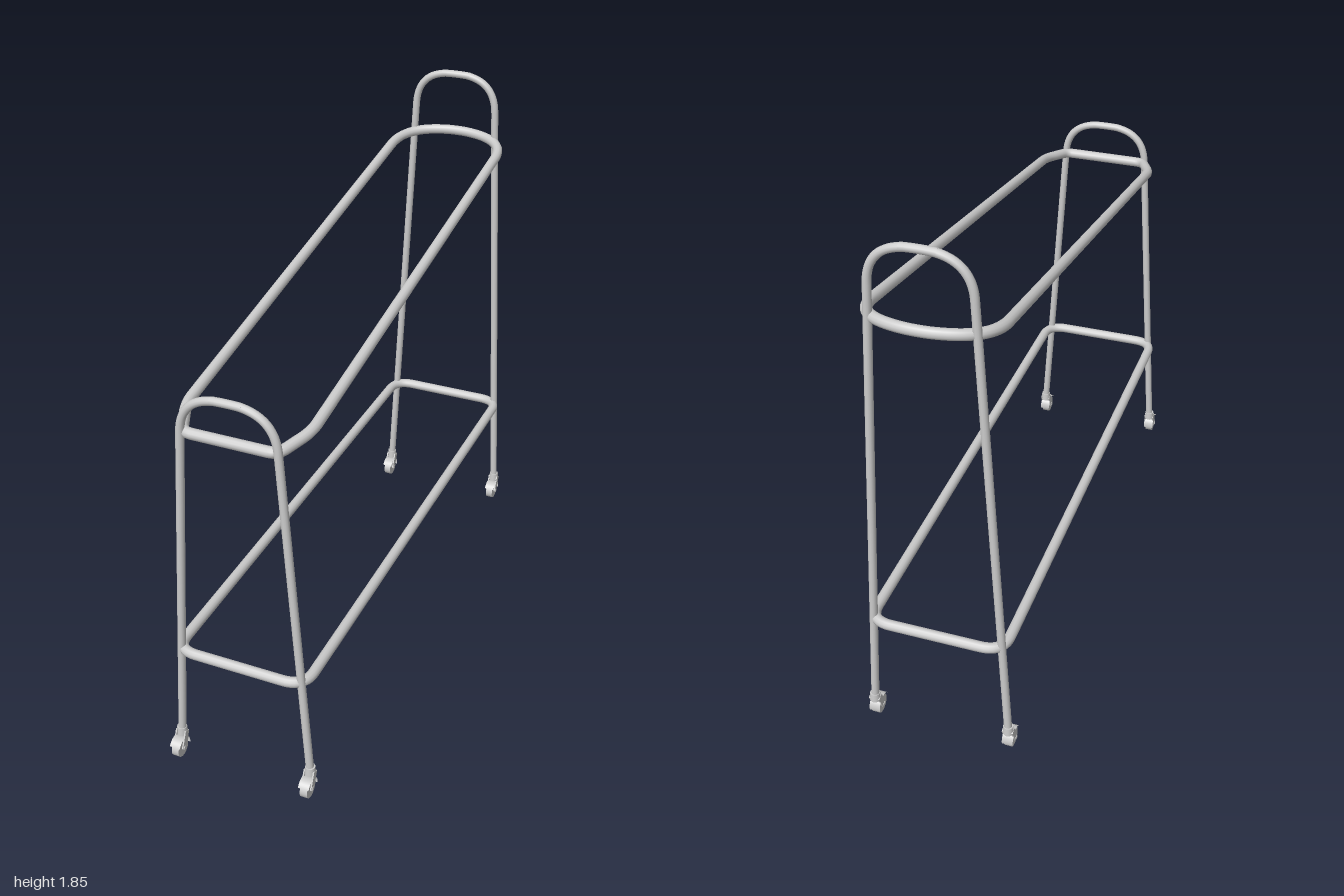
import * as THREE from 'three';

const grey = new THREE.MeshStandardMaterial({ color: 0xcccccc });
const greyTwoSided = new THREE.MeshStandardMaterial({ color: 0xcccccc, side: THREE.DoubleSide });
const V = (x, y, z) => new THREE.Vector3(x, y, z);

function add(parent, name, geometry, x = 0, y = 0, z = 0, material = grey) {
  const mesh = new THREE.Mesh(geometry, material);
  mesh.name = name;
  mesh.position.set(x, y, z);
  parent.add(mesh);
  return mesh;
}

// Path of straight runs; each corner is { p, d } rounded over distance d
function roundedPath(corners, closed) {
  const path = new THREE.CurvePath();
  const n = corners.length;
  const toward = (a, b, d) => a.clone().add(b.clone().sub(a).setLength(d));
  let last = closed ? corners[n - 1].p.clone().lerp(corners[0].p, 0.5) : corners[0].p;
  const start = last;
  for (let i = closed ? 0 : 1; i < (closed ? n : n - 1); i++) {
    const { p, d } = corners[i];
    const a = toward(p, corners[(i + n - 1) % n].p, d);
    const b = toward(p, corners[(i + 1) % n].p, d);
    path.add(new THREE.LineCurve3(last, a));
    path.add(new THREE.QuadraticBezierCurve3(a, p, b));
    last = b;
  }
  path.add(new THREE.LineCurve3(last, closed ? start : corners[n - 1].p));
  path.arcLengthDivisions = 800;
  return path;
}

function tube(parent, name, corners, radius, closed) {
  add(parent, name, new THREE.TubeGeometry(roundedPath(corners, closed), 360, radius, 12, closed));
}

// Mirror a +x half profile to the full width, keeping the order continuous
function mirrored(half) {
  const other = half.slice().reverse().map(({ p, d }) => ({ p: V(-p.x, p.y, p.z), d }));
  return half.concat(other);
}

// Arched end frame: two splayed legs joined by a rounded handle
function endFrame(parent, name, z, top) {
  const half = [
    { p: V(0.237, 0.08, z), d: 0 },
    { p: V(0.152, top - 0.01, z), d: 0.12 },
    { p: V(0.03, top, z), d: 0.025 },
  ];
  tube(parent, name, mirrored(half), 0.0135, false);
}

// Swivel caster trailing toward +z
function caster(name, x, z) {
  const group = new THREE.Group();
  group.name = name;
  group.position.set(x, 0, z);
  add(group, 'casterSocket', new THREE.CylinderGeometry(0.017, 0.019, 0.03, 16), 0, 0.09, 0);
  const wheel = add(group, 'wheel', new THREE.CylinderGeometry(0.033, 0.033, 0.026, 24), 0, 0.033, 0.024);
  wheel.rotation.z = Math.PI / 2;
  const hood = add(group, 'wheelHood',
    new THREE.CylinderGeometry(0.037, 0.037, 0.038, 20, 1, true, -Math.PI * 0.45, Math.PI * 0.9),
    0, 0.036, 0.024, greyTwoSided);
  hood.rotation.set(-Math.PI / 2 - 0.35, 0, Math.PI / 2, 'XYZ');
  // Fork arms from socket down to the axle
  for (const s of [-1, 1]) {
    const arm = add(group, 'forkArm', new THREE.BoxGeometry(0.005, 0.064, 0.024), s * 0.0165, 0.06, 0.012);
    arm.rotation.x = -0.42;
  }
  const axle = add(group, 'axle', new THREE.CylinderGeometry(0.008, 0.008, 0.042, 12), 0, 0.033, 0.024);
  axle.rotation.z = Math.PI / 2;
  return group;
}

export function createModel() {
  const model = new THREE.Group();
  model.name = 'wheeledRackFrame';

  endFrame(model, 'frontFrame', 0.945, 1.412);
  endFrame(model, 'rearFrame', -0.945, 1.832);

  // Level lower rail
  const lower = [
    { p: V(0.228, 0.45, 0.957), d: 0.075 },
    { p: V(0.228, 0.45, -0.962), d: 0.075 },
  ];
  tube(model, 'lowerRail', mirrored(lower), 0.018, true);

  // Sloping upper rail, bowed at the rear
  const slope = (x, z) => V(x, 1.28 + (0.94 - z) * 0.1665, z);
  const upper = [
    { p: slope(0.155, 0.94), d: 0.03 },
    { p: slope(0.207, 0.82), d: 0.04 },
    { p: slope(0.207, -0.94), d: 0.13 },
    { p: slope(0.04, -0.983), d: 0.035 },
  ];
  tube(model, 'upperRail', mirrored(upper), 0.018, true);

  for (const [end, z] of [['front', 0.945], ['rear', -0.945]])
    for (const [side, x] of [['Left', 0.237], ['Right', -0.237]])
      model.add(caster(end + side + 'Caster', x, z));

  return model;
}
